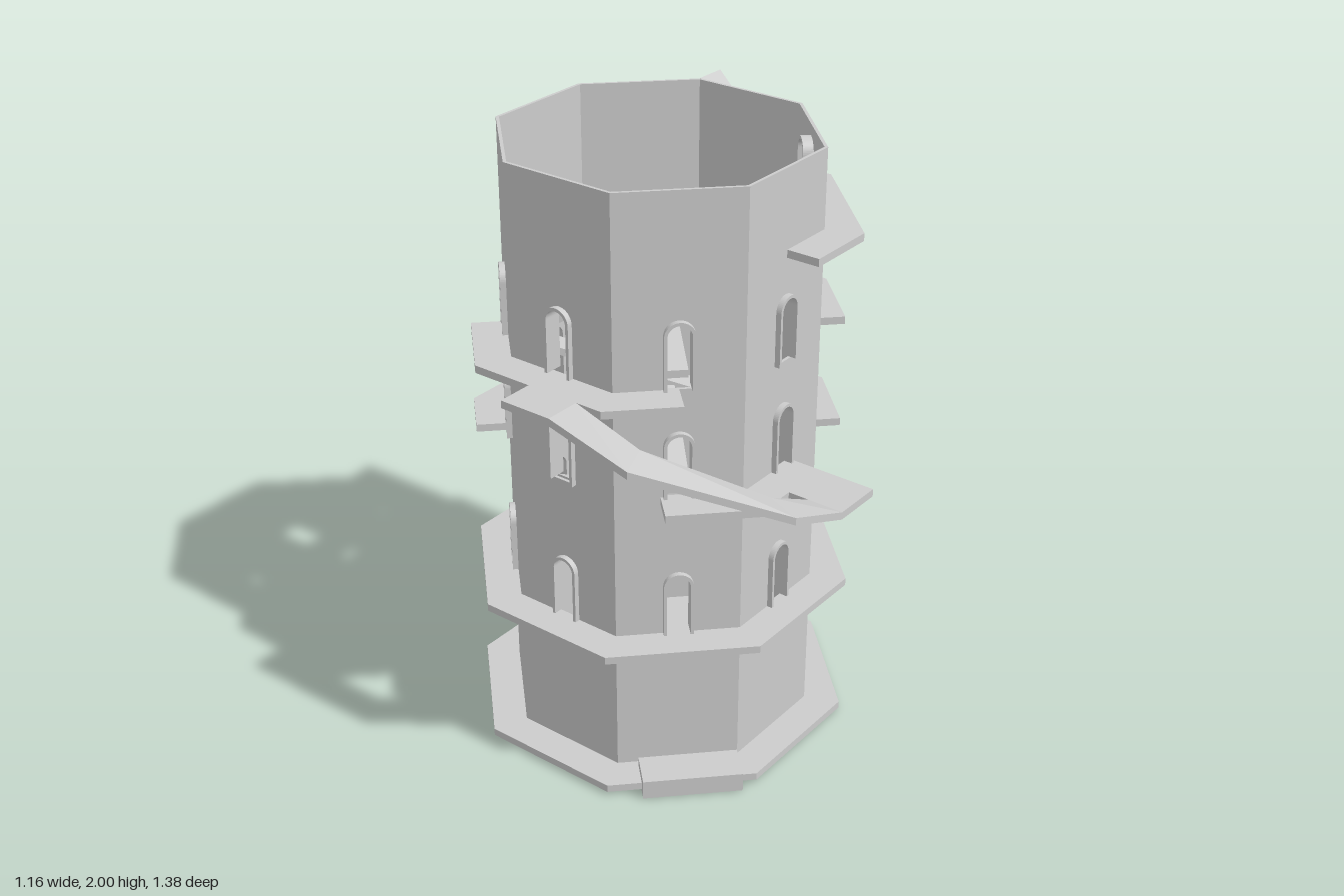
import * as THREE from 'three';

const CZ = -0.11, TAN = Math.tan(Math.PI / 8), T = 0.025;
const stone = new THREE.MeshStandardMaterial({ color: 0xcccccc });
stone.name = 'pale stone';

// Ground point on octagon side k (0 = front, 2 = +x), t along the side, r out from the axis
function pt(k, t, r) {
  const a = k * Math.PI / 4;
  return [r * Math.sin(a) + t * Math.cos(a), CZ + r * Math.cos(a) - t * Math.sin(a)];
}

// Slab swept through sections [outer point, inner point, top height]
function strip(sections) {
  const loops = sections.map(([o, i, y]) => [
    [o[0], y, o[1]], [o[0], y - T, o[1]], [i[0], y - T, i[1]], [i[0], y, i[1]]]);
  const pos = [];
  const quad = (a, b, c, d) => pos.push(...a, ...b, ...c, ...a, ...c, ...d);
  for (let n = 0; n < loops.length - 1; n++) {
    const p = loops[n], q = loops[n + 1];
    for (let e = 0; e < 4; e++) quad(p[e], p[(e + 1) % 4], q[(e + 1) % 4], q[e]);
  }
  const s = loops[0], f = loops[loops.length - 1];
  quad(s[0], s[3], s[2], s[1]);
  quad(f[0], f[1], f[2], f[3]);
  const g = new THREE.BufferGeometry();
  g.setAttribute('position', new THREE.Float32BufferAttribute(pos, 3));
  g.computeVertexNormals();
  return g;
}

// Section of a walkway on side k
const section = (k, t, y, outer = 0.58, inner = 0.462) => [pt(k, t, outer), pt(k, t, inner), y];

// Walkway sections from side k0 to side k1, mitred at each corner
function walk(y, k0, t0, k1, t1) {
  const list = [section(k0, t0, y)];
  for (let k = k0; k < k1; k++) list.push([pt(k, 0.58 * TAN, 0.58), pt(k, 0.462 * TAN, 0.462), y]);
  list.push(section(k1, t1, y));
  return list;
}

// Round-headed opening outline
function arch(path, w, y, top) {
  path.moveTo(-w, y);
  path.lineTo(w, y);
  path.lineTo(w, top - w);
  path.absarc(0, top - w, w, 0, Math.PI, false);
  path.lineTo(-w, y);
  return path;
}

export function createModel() {
  const model = new THREE.Group();
  const add = (name, geometry, parent = model) => {
    const m = new THREE.Mesh(geometry, stone);
    m.name = name;
    parent.add(m);
    return m;
  };

  // Base slab and entrance step
  const base = add('base', new THREE.CylinderGeometry(0.58 / Math.cos(Math.PI / 8), 0.58 / Math.cos(Math.PI / 8), T, 8).toNonIndexed());
  base.geometry.computeVertexNormals();
  base.rotation.y = Math.PI / 8;
  base.position.set(0, 0.0275, CZ);
  add('entranceStep', new THREE.BoxGeometry(0.32, 0.065, 0.125)).position.set(0.03, 0.0375, 0.4425);

  // Eight wall panels with arched openings and frames
  const half = 0.47 * TAN;
  for (let k = 0; k < 8; k++) {
    const side = new THREE.Group();
    side.name = 'wallSide' + k;
    side.position.z = CZ;
    side.rotation.y = k * Math.PI / 4;
    model.add(side);
    const sills = k === 2 ? [0.042, 0.535, 1.025, 1.385, 1.745] : [0.535, 1.025, 1.385];
    const wall = new THREE.Shape([[-half, 0.03], [half, 0.03], [half, 2], [-half, 2]].map(p => new THREE.Vector2(...p)));
    for (const y of sills) {
      wall.holes.push(arch(new THREE.Path(), 0.041, y, y + 0.213));
      // Frame: open-bottomed arch band through the wall
      const w = 0.047, v = 0.037, c = y + 0.22 - w;
      const f = new THREE.Shape();
      f.moveTo(w, y);
      f.lineTo(w, c);
      f.absarc(0, c, w, 0, Math.PI, false);
      f.lineTo(-w, y);
      f.lineTo(-v, y);
      f.lineTo(-v, c);
      f.absarc(0, c, v, Math.PI, 0, true);
      f.lineTo(v, y);
      const frame = new THREE.ExtrudeGeometry(f, { depth: 0.06, bevelEnabled: false, curveSegments: 14 });
      add('windowFrame', frame, side).position.z = 0.428;
    }
    const panel = new THREE.ExtrudeGeometry(wall, { depth: 0.01, bevelEnabled: false, curveSegments: 14 });
    add('wall', panel, side).position.z = 0.46;
  }

  // Outer walkways, rising level by level
  add('firstWalkway', strip(walk(0.535, 0, 0, 8, 0)));
  add('secondWalkwayBack', strip(walk(1.025, 2, -0.05, 6, -0.055)));
  add('secondWalkwayFront', strip(walk(1.025, 0, -0.055, 1, 0.057)));
  add('thirdWalkwayBack', strip(walk(1.385, 2, -0.05, 4, 0.065)));
  add('thirdWalkwayFront', strip(walk(1.385, 6, -0.055, 8, 0)));

  // Top walkway climbing to the rim in two ramps
  add('topWalkway', strip([
    ...walk(1.745, 1, 0, 3, -0.163),
    section(3, -0.057, 1.835, 0.58, 0.472),
    section(3, 0.032, 1.835, 0.58, 0.472),
    section(3, 0.198, 2, 0.58, 0.472)]));

  // Outer ramp wrapped around the front, with landings
  add('frontRamp', strip([
    section(7, -0.03, 1.385, 0.70, 0.58),
    section(7, 0.15, 1.385, 0.70, 0.58),
    [[-0.19, 0.69], [-0.14, 0.57], 1.31],
    [[0.29, 0.69], [0.24, 0.57], 1.125],
    section(1, -0.113, 1.025, 0.77, 0.65)]));
  add('rampLanding', strip([
    section(1, -0.113, 1.025, 0.77, 0.57),
    section(1, 0.057, 1.025, 0.77, 0.57)]));

  // Inner bridges: side, start radius and height, end radius and height
  const bridges = [
    [2, -0.45, 1.385, 0.45, 1.745],
    [2, -0.45, 1.385, 0.45, 1.025],
    [0, -0.45, 1.6, 0.35, 1.385],
    [0, -0.45, 1.385, 0.41, 1.025],
    [3, -0.45, 1.025, 0.45, 0.535],
    [5, 0.05, 0.78, 0.45, 0.535],
  ];
  for (const [k, r0, y0, r1, y1] of bridges) {
    add('innerBridge', strip([[r0, y0], [r1, y1]].map(([r, y]) => [pt(k, -0.044, r), pt(k, 0.044, r), y])));
  }
  return model;
}
